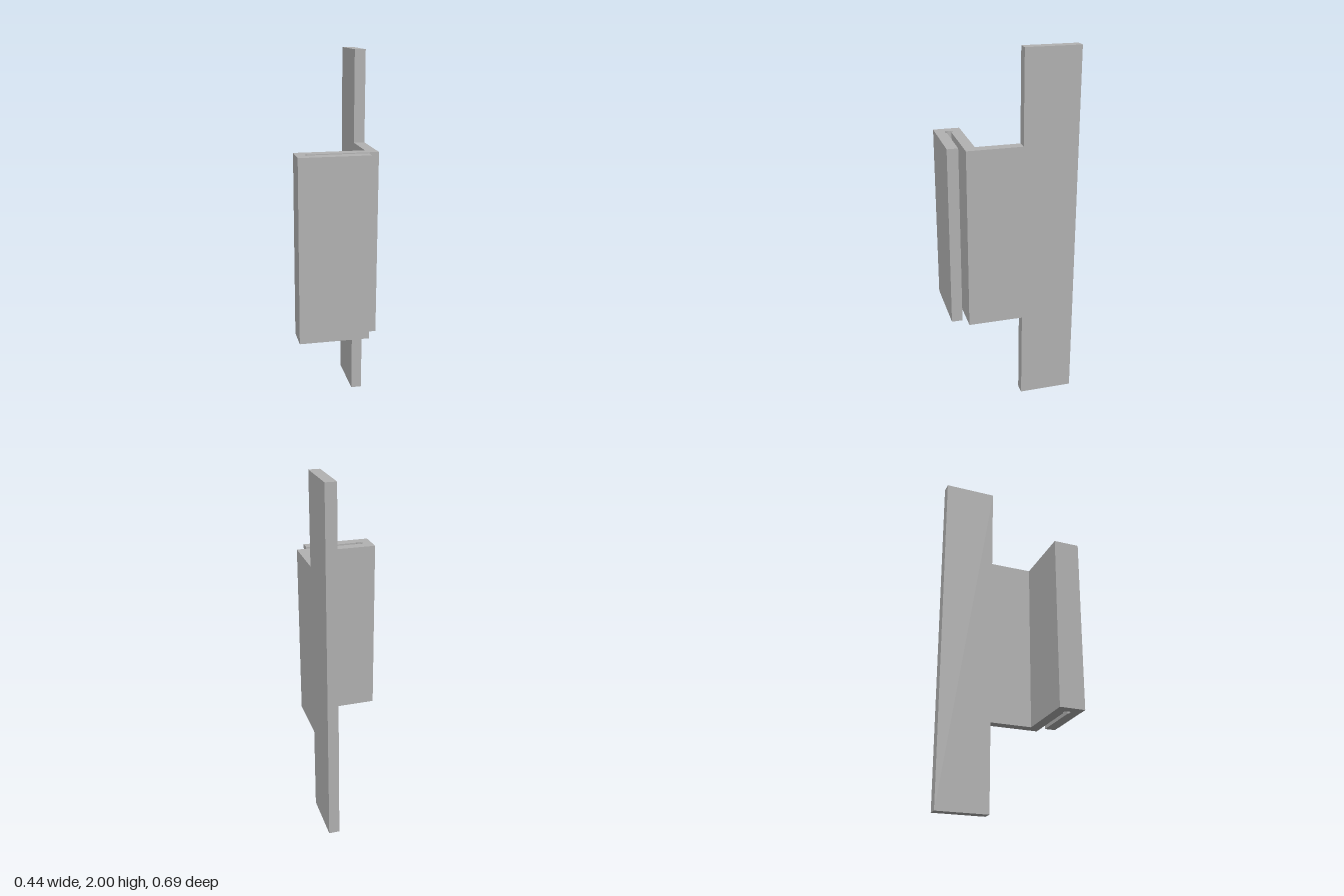
import * as THREE from 'three';

export function createModel() {
  const group = new THREE.Group();
  const grey = new THREE.MeshStandardMaterial({ color: 0xb2b2b2 });
  grey.name = 'grey';

  // Tall mounting plate
  const plate = new THREE.Mesh(new THREE.BoxGeometry(0.06, 2, 0.299), grey);
  plate.name = 'mountingPlate';
  plate.position.set(0.189, 1, -0.1945);
  group.add(plate);

  // Folded clip: web, back arm and front arm around a slot with a round relief.
  // Profile is drawn in x and -z, then extruded upwards.
  const r = 0.02, slot = 0.013, cx = -0.148, cz = 0.27;
  const a = Math.asin(slot / r);
  const profile = new THREE.Shape();
  profile.moveTo(0.219, 0.045);
  profile.lineTo(0.159, 0.045);
  profile.lineTo(0.159, -0.197);
  profile.lineTo(-0.219, -0.197);
  profile.lineTo(-0.219, -0.343);
  profile.lineTo(0.159, -0.343);
  profile.lineTo(0.159, -cz - slot);
  profile.absarc(cx, -cz, r, -a, a, true);
  profile.lineTo(0.219, -cz + slot);
  profile.closePath();

  const clipGeometry = new THREE.ExtrudeGeometry(profile, { depth: 1, bevelEnabled: false, curveSegments: 24 });
  clipGeometry.rotateX(-Math.PI / 2);
  const clip = new THREE.Mesh(clipGeometry, grey);
  clip.name = 'slottedClip';
  clip.position.y = 0.5;
  group.add(clip);

  return group;
}
